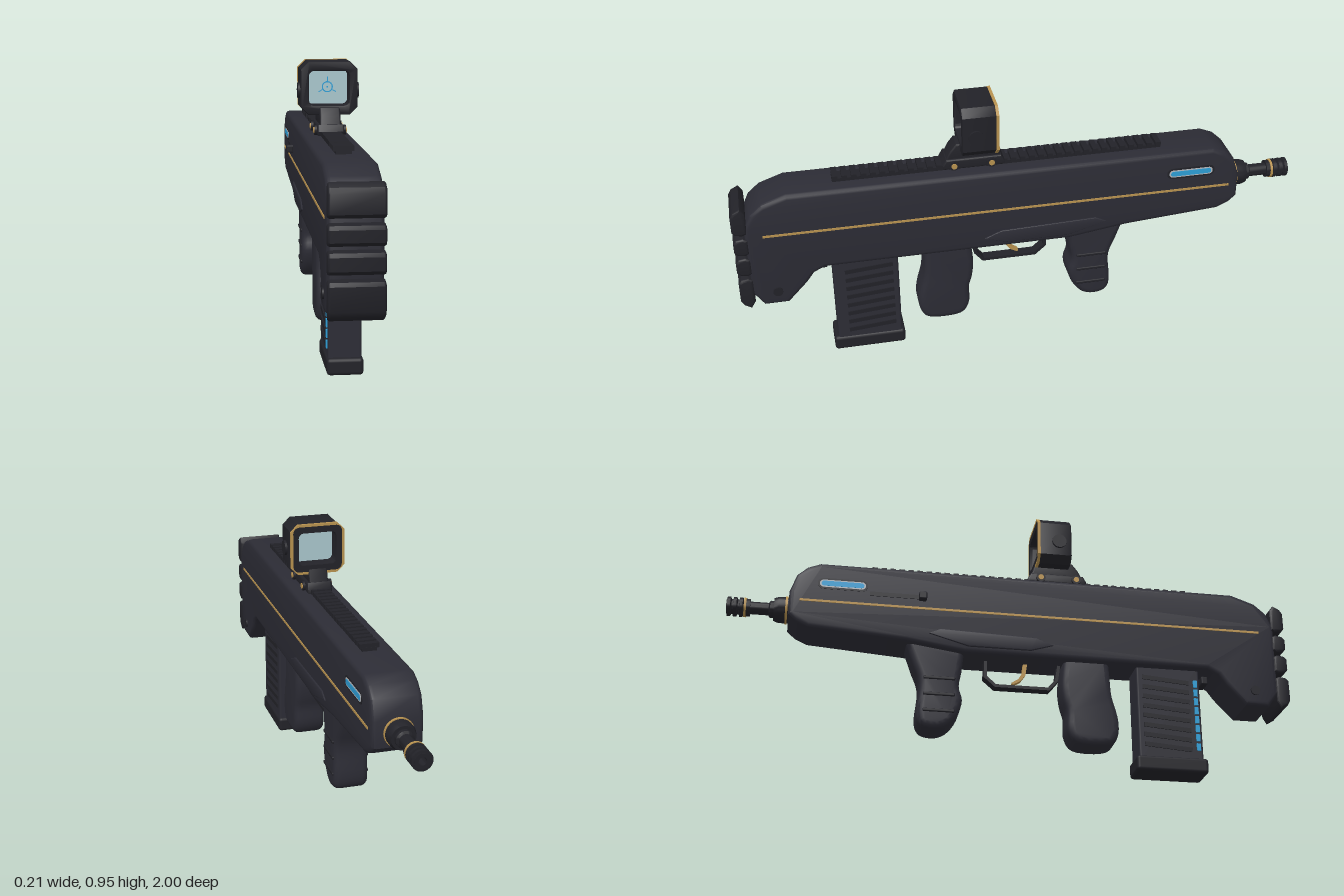
import * as THREE from 'three';
import { toCreasedNormals } from 'three/addons/utils/BufferGeometryUtils.js';
import { RoundedBoxGeometry } from 'three/addons/geometries/RoundedBoxGeometry.js';

const paint = (name, color) => {
  const m = new THREE.MeshStandardMaterial({ color });
  m.name = name;
  return m;
};

export function createModel() {
  const root = new THREE.Group();
  root.name = 'rifle';
  const shell = paint('charcoal shell', 0x2c2c35);
  const dark = paint('dark rubber', 0x222228);
  const gold = paint('gold trim', 0xb8924f);
  const blue = paint('blue light', 0x2d9ed6);
  const glass = paint('pale glass', 0xa9c6cd);
  const silver = paint('silver rim', 0xb4bac0);

  const add = (name, geo, mat, x = 0, y = 0, z = 0, parent = root) => {
    const m = new THREE.Mesh(geo, mat);
    m.name = name;
    m.position.set(x, y, z);
    parent.add(m);
    return m;
  };
  const box = (name, w, h, d, mat, x, y, z) => add(name, new THREE.BoxGeometry(w, h, d), mat, x, y, z);
  const rbox = (name, w, h, d, r, mat, x, y, z) => add(name, new RoundedBoxGeometry(w, h, d, 2, r), mat, x, y, z);
  const v = ([a, b]) => new THREE.Vector2(a, b);

  // Side profile given as [z, y], extruded across x with bevelled edges
  const slab = (name, pts, width, bevel, mat, x = 0, smooth = false) => {
    const outline = smooth ? new THREE.SplineCurve(pts.map(v)).getPoints(40) : pts.map(v);
    const g = new THREE.ExtrudeGeometry(new THREE.Shape(outline), {
      depth: width - 2 * bevel, bevelEnabled: bevel > 0, bevelThickness: bevel,
      bevelSize: bevel, bevelOffset: -bevel, bevelSegments: 3,
    });
    g.translate(0, 0, -(width - 2 * bevel) / 2).rotateY(-Math.PI / 2);
    return add(name, toCreasedNormals(g, 0.6), mat, x);
  };
  const disc = (name, r, len, mat, x, y, z) =>
    add(name, new THREE.CylinderGeometry(r, r, len, 24).rotateZ(Math.PI / 2), mat, x, y, z);

  // Main body
  slab('body', [
    [0.96, 0.57], [0.935, 0.625], [0.895, 0.66], [0.81, 0.69], [-0.685, 0.69], [-0.73, 0.672],
    [-0.765, 0.64], [-0.787, 0.575], [-0.787, 0.485], [-0.76, 0.46], [-0.717, 0.44], [-0.38, 0.415],
    [-0.17, 0.385], [0.70, 0.385], [0.74, 0.365], [0.765, 0.33], [0.835, 0.255], [0.92, 0.255], [0.957, 0.31],
  ], 0.168, 0.016, shell);

  // Segmented butt pad
  for (const [lo, hi] of [[0.25, 0.373], [0.385, 0.458], [0.468, 0.537], [0.549, 0.655]]) {
    const a = lo < 0.3 ? 0.025 : 0.008, b = hi > 0.6 ? 0.022 : 0.008;
    slab('buttPad', [[0.95, lo + a], [0.965, lo], [0.99, lo + a * 0.6], [1, lo + a + 0.008],
      [1, hi - b - 0.008], [0.99, hi - b * 0.6], [0.965, hi], [0.95, hi - b]], 0.17, 0.008, dark);
  }

  // Details shared by both sides
  for (const s of [-1, 1]) {
    box('goldSeam', 0.004, 0.008, 1.65, gold, s * 0.0845, 0.54, 0.075);
    const capsule = (name, len, h, mat, x) => {
      const r = h / 2, e = len / 2 - r, sh = new THREE.Shape();
      sh.absarc(e, 0, r, -Math.PI / 2, Math.PI / 2);
      sh.absarc(-e, 0, r, Math.PI / 2, Math.PI * 1.5);
      const g = new THREE.ExtrudeGeometry(sh, { depth: 0.004, bevelEnabled: false, curveSegments: 8 });
      add(name, g.translate(0, 0, -0.002).rotateY(-Math.PI / 2), mat, s * x, 0.609, -0.605);
    };
    capsule('lightSurround', 0.175, 0.042, dark, 0.0835);
    capsule('lightRim', 0.16, 0.028, silver, 0.0845);
    capsule('sideLight', 0.148, 0.019, blue, 0.0855);
    slab('sidePanel', [[0.14, 0.43], [0.06, 0.405], [-0.16, 0.405], [-0.3, 0.445], [-0.26, 0.465], [0.08, 0.455]],
      0.008, 0.003, shell, s * 0.085);
    disc('pivotPin', 0.017, 0.01, dark, s * 0.085, 0.31, 0.87);
  }

  // Charging handle and its slot
  box('handleSlot', 0.004, 0.016, 0.2, dark, -0.0845, 0.582, -0.41);
  rbox('chargingHandle', 0.03, 0.028, 0.028, 0.005, dark, -0.093, 0.582, -0.325);

  // Top rail with teeth
  box('railBase', 0.05, 0.014, 1.155, dark, 0, 0.695, 0.0725);
  for (let i = 0; i < 36; i++) box('railTooth', 0.066, 0.016, 0.019, dark, 0, 0.707, 0.64 - i * 0.0324);

  // Magazine
  rbox('magazine', 0.106, 0.37, 0.23, 0.008, shell, 0.002, 0.22, 0.56);
  rbox('magazineBase', 0.116, 0.055, 0.256, 0.012, dark, 0.002, 0.0275, 0.5625);
  for (const s of [-1, 1]) for (let i = 0; i < 8; i++) {
    const rib = box('magazineRib', 0.005, 0.016, 0.17, dark, 0.002 + s * 0.054, 0.09 + i * 0.036, 0.55);
    rib.rotation.x = 0.08;
  }
  for (let i = 0; i < 8; i++) box('magazineWindow', 0.008, 0.026, 0.014, blue, -0.052, 0.095 + i * 0.034, 0.658);
  rbox('magazineRelease', 0.06, 0.03, 0.024, 0.005, dark, 0, 0.362, 0.703);

  // Pistol grip and forward grip
  slab('pistolGrip', [[0.345, 0.41], [0.35, 0.35], [0.355, 0.27], [0.375, 0.19], [0.375, 0.13], [0.35, 0.09],
    [0.285, 0.08], [0.22, 0.09], [0.193, 0.135], [0.193, 0.2], [0.18, 0.25], [0.175, 0.31], [0.185, 0.41]],
  0.116, 0.022, shell, 0, true);
  slab('foregrip', [[-0.17, 0.41], [-0.178, 0.33], [-0.187, 0.27], [-0.175, 0.22], [-0.19, 0.165], [-0.225, 0.12],
    [-0.27, 0.105], [-0.318, 0.118], [-0.333, 0.165], [-0.325, 0.27], [-0.35, 0.345], [-0.38, 0.43]],
  0.122, 0.022, shell, 0, true);
  for (const y of [0.17, 0.23, 0.29]) rbox('foregripRib', 0.13, 0.012, 0.11, 0.004, dark, 0, y, -0.257);

  // Trigger and guard
  const guard = [[0.178, 0.39], [0.168, 0.325], [0.137, 0.288], [-0.057, 0.288], [-0.097, 0.323], [-0.097, 0.39]];
  const inner = [[-0.086, 0.39], [-0.086, 0.328], [-0.053, 0.299], [0.132, 0.299], [0.157, 0.329], [0.167, 0.39]];
  slab('triggerGuard', [...guard, ...inner], 0.036, 0, dark);
  slab('trigger', [[0.06, 0.39], [0.053, 0.345], [0.035, 0.32], [0.008, 0.305], [0.004, 0.312], [0.028, 0.328],
    [0.041, 0.35], [0.045, 0.39]], 0.02, 0, gold);

  // Barrel, turned around the z axis: points are [radius, distance forward]
  const turned = (name, pts, mat) => {
    const g = new THREE.LatheGeometry(pts.map(v), 28);
    add(name, toCreasedNormals(g.rotateX(-Math.PI / 2), 0.5), mat, 0, 0.535, 0);
  };
  turned('collar', [[0, 0.77], [0.046, 0.77], [0.046, 0.82], [0.04, 0.837], [0, 0.837]], dark);
  turned('collarRing', [[0.04, 0.79], [0.049, 0.79], [0.049, 0.798], [0.04, 0.798]], gold);
  turned('barrel', [[0, 0.83], [0.03, 0.83], [0.03, 0.85], [0.022, 0.855], [0.022, 0.93], [0, 0.93]], dark);
  turned('muzzleRing', [[0.018, 0.932], [0.034, 0.932], [0.034, 0.94], [0.018, 0.94]], gold);
  const muzzle = [[0.02, 0.918], [0.031, 0.918], [0.031, 0.932]];
  for (let i = 0; i < 3; i++) {
    const d = 0.94 + i * 0.021;
    muzzle.push([0.026, d], [0.034, d + 0.004], [0.034, d + 0.015], [0.026, d + 0.016]);
  }
  turned('muzzle', [...muzzle, [0.026, 1], [0.013, 1], [0.013, 0.96], [0, 0.96]], dark);

  // Sight mount
  slab('mountBase', [[0.27, 0.7], [0.275, 0.715], [0.262, 0.737], [0.07, 0.737], [0.058, 0.715], [0.058, 0.7]],
    0.09, 0.006, dark);
  slab('mountNeck', [[0.262, 0.73], [0.245, 0.765], [0.225, 0.79], [0.09, 0.79], [0.07, 0.73]], 0.07, 0.006, dark);
  for (const s of [-1, 1]) for (const z of [0.235, 0.105]) {
    disc('mountLug', 0.017, 0.012, dark, s * 0.047, 0.717, z);
    disc('mountScrew', 0.01, 0.006, gold, s * 0.053, 0.717, z);
  }

  // Sight housing: frames with cut corners, facing along z
  const corners = (w, h, c) => [[w - c, -h], [w, -h + c], [w, h - c], [w - c, h], [-w + c, h], [-w, h - c], [-w, -h + c], [-w + c, -h]];
  const rounded = (T, w, h, r) => {
    const p = new T();
    [[w - r, h - r, 0], [-w + r, h - r, 1], [-w + r, -h + r, 2], [w - r, -h + r, 3]].forEach(([x, y, q]) =>
      p.absarc(x, y, r, q * Math.PI / 2, (q + 1) * Math.PI / 2));
    return p;
  };
  const sight = new THREE.Group();
  sight.name = 'sight';
  sight.position.y = 0.855;
  root.add(sight);
  const frame = (name, outer, hole, z0, z1, bevel, mat) => {
    if (hole) outer.holes.push(hole);
    const g = new THREE.ExtrudeGeometry(outer, { depth: z1 - z0 - 2 * bevel, bevelEnabled: bevel > 0,
      bevelThickness: bevel, bevelSize: bevel, bevelOffset: -bevel, bevelSegments: 2, curveSegments: 6 });
    add(name, toCreasedNormals(g, 0.5), mat, 0, 0, z0 + bevel, sight);
  };
  frame('sightHousing', new THREE.Shape(corners(0.096, 0.09, 0.026).map(v)),
    rounded(THREE.Path, 0.068, 0.058, 0.018), 0.093, 0.212, 0.006, dark);
  frame('sightTrim', new THREE.Shape(corners(0.098, 0.091, 0.026).map(v)),
    rounded(THREE.Path, 0.089, 0.082, 0.022), 0.086, 0.096, 0, gold);
  frame('sightLip', rounded(THREE.Shape, 0.089, 0.082, 0.022),
    rounded(THREE.Path, 0.069, 0.059, 0.018), 0.087, 0.1, 0, dark);
  frame('lens', rounded(THREE.Shape, 0.072, 0.062, 0.02), null, 0.14, 0.146, 0, glass);
  for (const s of [-1, 1]) disc('sightKnob', 0.026, 0.014, dark, s * 0.097, 0.845, 0.165);

  // Reticle on the rear of the lens
  add('reticleRing', new THREE.RingGeometry(0.015, 0.019, 32), blue, 0, 0, 0.1475, sight);
  add('reticleDot', new THREE.CircleGeometry(0.003, 12), blue, 0, 0, 0.1475, sight);
  for (const a of [90, 210, 330].map(THREE.MathUtils.degToRad)) {
    const tick = add('reticleTick', new THREE.PlaneGeometry(0.015, 0.003), blue,
      Math.cos(a) * 0.027, Math.sin(a) * 0.027, 0.1475, sight);
    tick.rotation.z = a;
  }
  return root;
}
